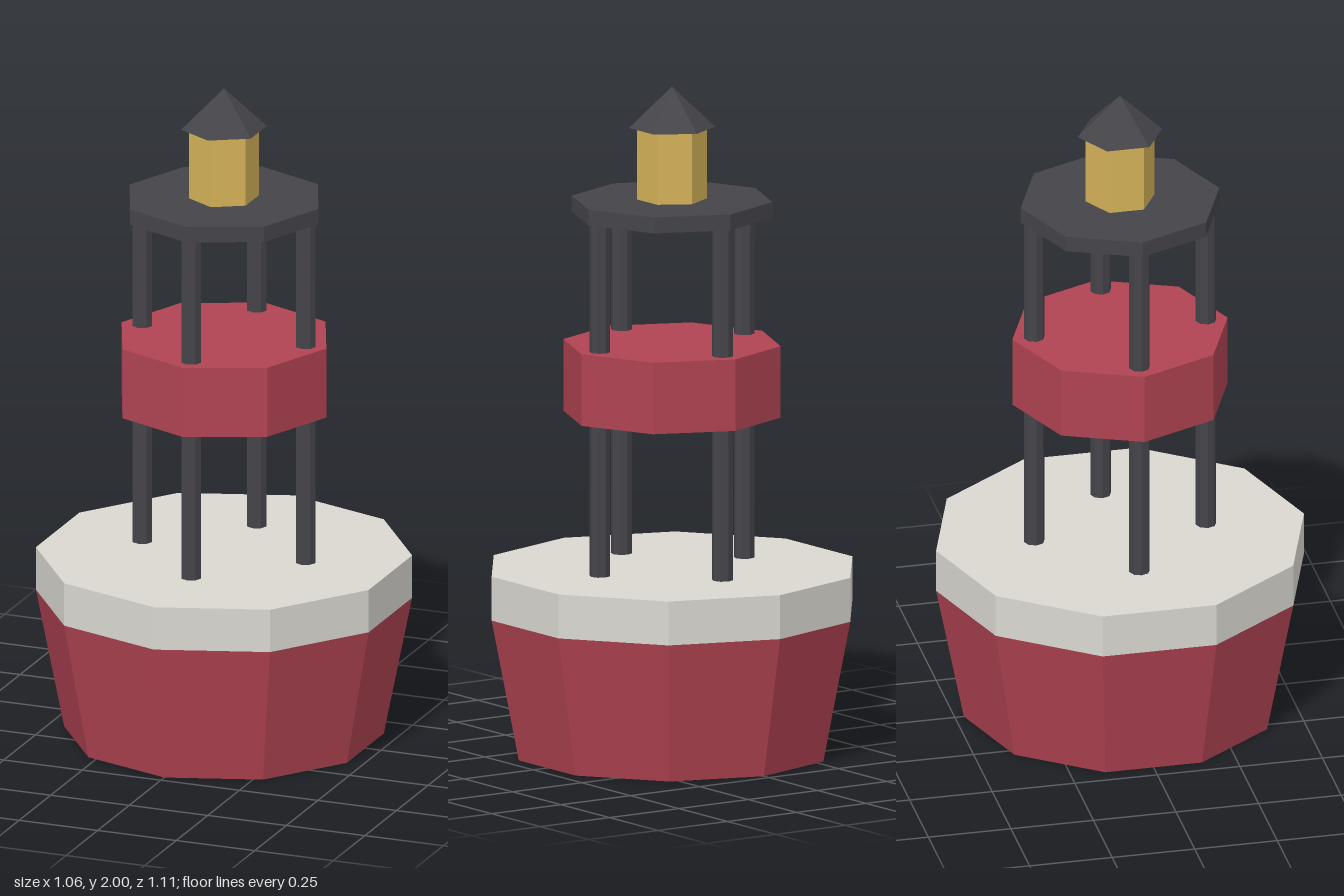
import * as THREE from 'three';

const mat = (name, color) => {
  const m = new THREE.MeshStandardMaterial({ color, flatShading: true });
  m.name = name;
  return m;
};

export function createModel() {
  const buoy = new THREE.Group();
  buoy.name = 'buoy';
  const red = mat('red paint', 0xb04352);
  const grey = mat('pale grey', 0xd9d7d0);
  const iron = mat('dark iron', 0x454449);
  const amber = mat('amber lamp', 0xd4b258);

  // Faceted prism standing between two heights
  function prism(name, material, sides, rBottom, rTop, y0, y1, x = 0, z = 0) {
    const geo = rTop === 0
      ? new THREE.ConeGeometry(rBottom, y1 - y0, sides)
      : new THREE.CylinderGeometry(rTop, rBottom, y1 - y0, sides);
    const mesh = new THREE.Mesh(geo, material);
    mesh.name = name;
    mesh.position.set(x, (y0 + y1) / 2, z);
    buoy.add(mesh);
  }

  // Floating body
  prism('hull', red, 10, 0.473, 0.557, 0, 0.425);
  prism('deckRim', grey, 10, 0.557, 0.557, 0.425, 0.557);

  // Four posts carrying the band and the platform
  for (let i = 0; i < 4; i++) {
    const a = (i * Math.PI) / 2;
    prism('post', iron, 8, 0.031, 0.031, 0.55, 1.62, 0.26 * Math.sin(a), 0.26 * Math.cos(a));
  }
  prism('band', red, 8, 0.326, 0.326, 1.015, 1.23);
  prism('platform', iron, 8, 0.301, 0.301, 1.614, 1.662);

  // Lamp and its pointed cap
  prism('lamp', amber, 6, 0.104, 0.104, 1.662, 1.88);
  prism('lampCap', iron, 6, 0.128, 0, 1.877, 2);

  return buoy;
}
